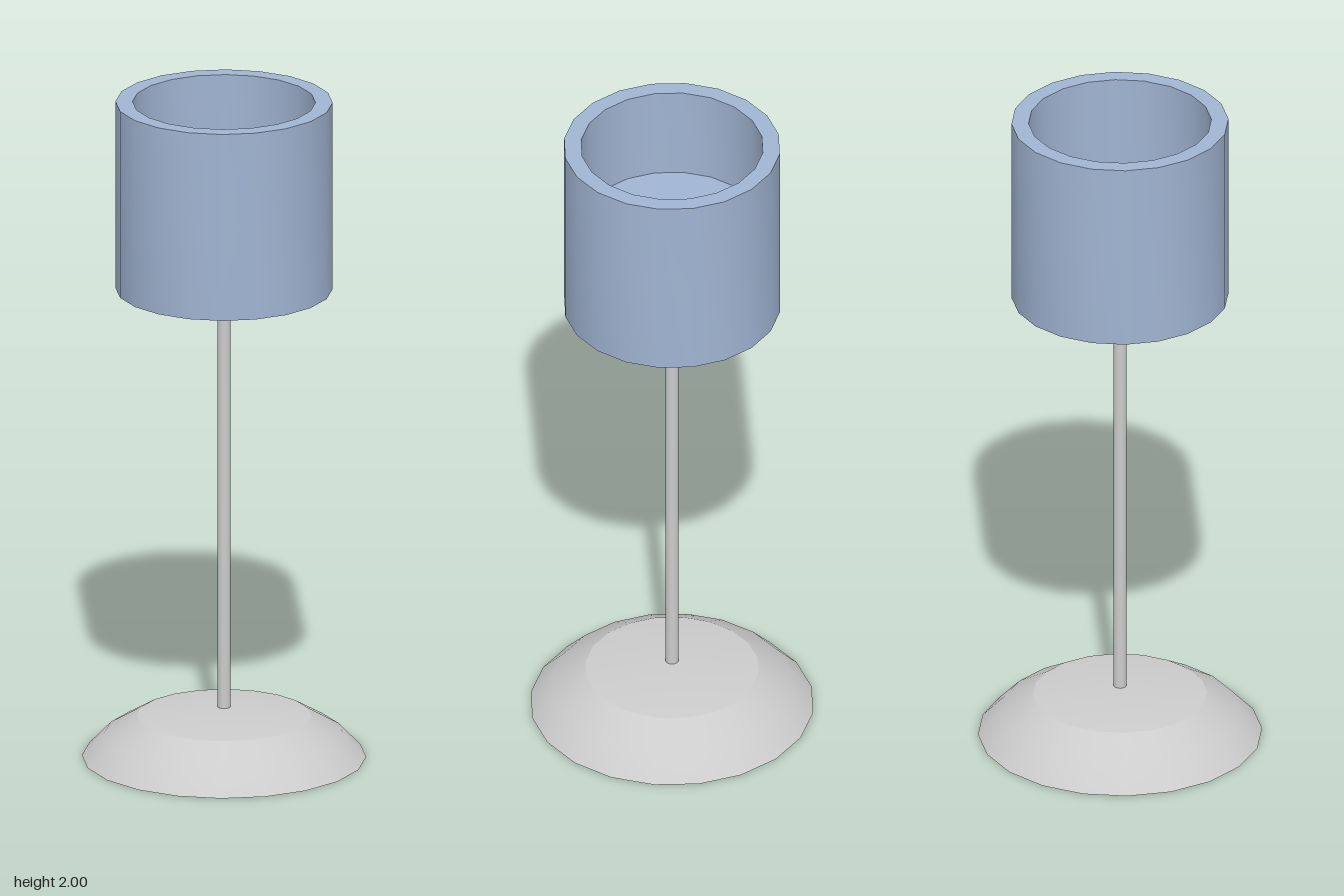
import * as THREE from 'three';
import { toCreasedNormals } from 'three/addons/utils/BufferGeometryUtils.js';

const SIDES = 20;
const grey = new THREE.MeshStandardMaterial({ color: 0xcccccc });
const blue = new THREE.MeshStandardMaterial({ color: 0xa0b4d2 });

// Faceted solid of revolution from [radius, height] pairs
function turned(name, profile, material) {
  const points = profile.map(([r, y]) => new THREE.Vector2(r, y));
  const geometry = toCreasedNormals(new THREE.LatheGeometry(points, SIDES), 0.4);
  const mesh = new THREE.Mesh(geometry, material);
  mesh.name = name;
  return mesh;
}

export function createModel() {
  const lamp = new THREE.Group();
  lamp.name = 'tableLamp';

  // Low domed foot with a shallow conical top
  lamp.add(turned('base', [
    [0, 0], [0.415, 0], [0.405, 0.01], [0.349, 0.069], [0.254, 0.125], [0, 0.153],
  ], grey));

  // Thin pole reaching the plate inside the shade
  const pole = new THREE.Mesh(new THREE.CylinderGeometry(0.019, 0.019, 1.58, SIDES), grey);
  pole.name = 'pole';
  pole.position.y = 0.91;
  lamp.add(pole);

  // Thick-walled open shade, profile closed on itself
  lamp.add(turned('shade', [
    [0.267, 1.43], [0.317, 1.43], [0.317, 2], [0.267, 2], [0.267, 1.43],
  ], blue));

  // Plate across the middle of the shade, carried by the pole
  const plate = new THREE.Mesh(new THREE.CylinderGeometry(0.267, 0.267, 0.02, SIDES), blue);
  plate.name = 'shadePlate';
  plate.position.y = 1.705;
  lamp.add(plate);

  return lamp;
}
